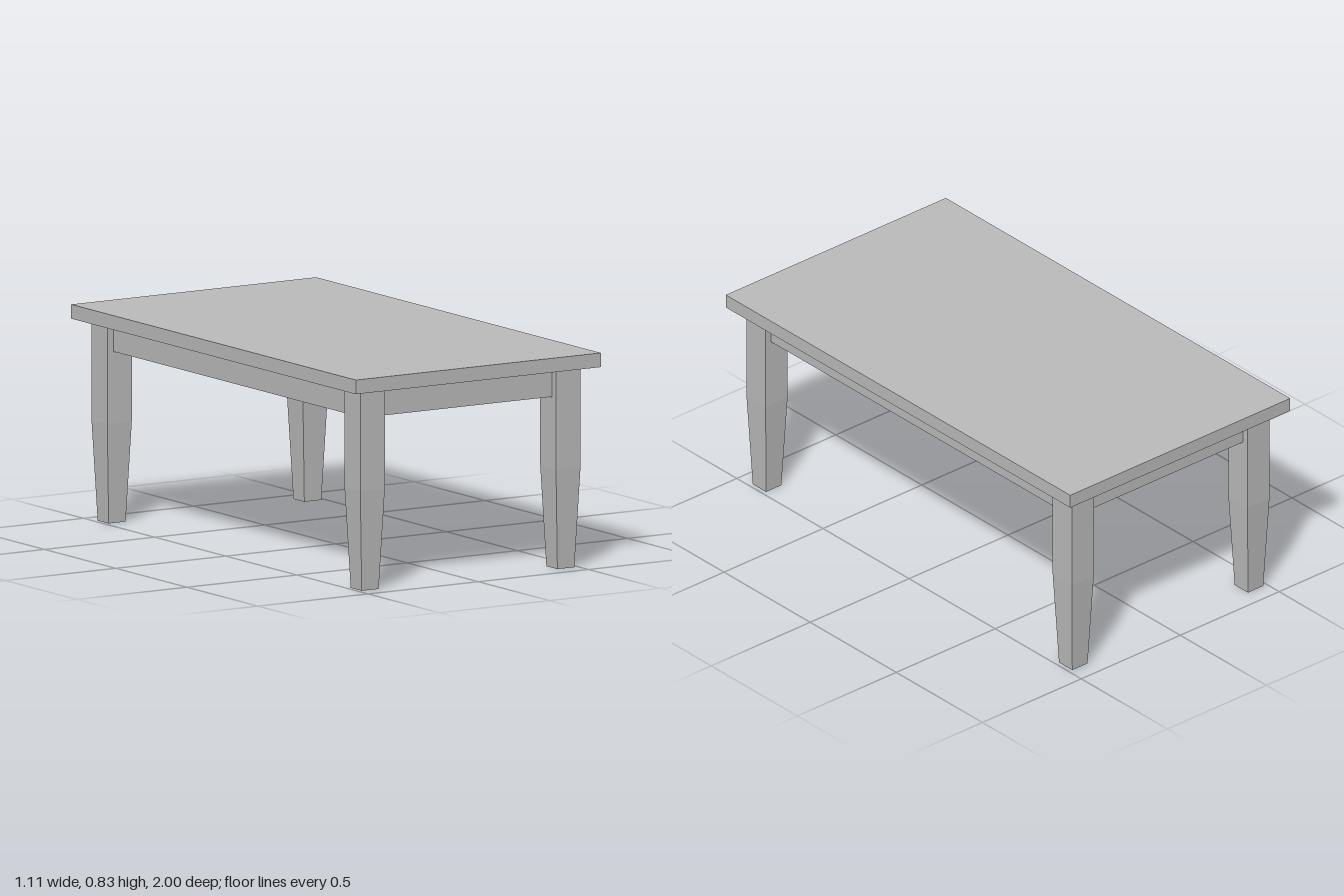
import * as THREE from 'three';

const HALF_W = 0.556, HALF_D = 1, TOP_Y = 0.833, UNDER_Y = 0.778;
const LEG = 0.111, FOOT = 0.077, LEG_X = 0.444, LEG_Z = 0.889;
const APRON_H = 0.111, APRON_T = 0.056;

// Square leg: straight upper half, lower half tapering to the foot
function legGeometry() {
  const geo = new THREE.BoxGeometry(LEG, UNDER_Y, LEG, 1, 2, 1);
  geo.translate(0, UNDER_Y / 2, 0);
  const p = geo.attributes.position;
  for (let i = 0; i < p.count; i++) {
    if (p.getY(i) < 0.01) {
      p.setX(i, Math.sign(p.getX(i)) * FOOT / 2);
      p.setZ(i, Math.sign(p.getZ(i)) * FOOT / 2);
    }
  }
  const flat = geo.toNonIndexed();
  flat.computeVertexNormals();
  return flat;
}

export function createModel() {
  const table = new THREE.Group();
  table.name = 'table';
  const grey = new THREE.MeshStandardMaterial({ color: 0xbbbbbb });
  grey.name = 'light grey';

  const add = (name, geo, x, y, z) => {
    const mesh = new THREE.Mesh(geo, grey);
    mesh.name = name;
    mesh.position.set(x, y, z);
    table.add(mesh);
  };

  // Table top
  const thick = TOP_Y - UNDER_Y;
  add('tableTop', new THREE.BoxGeometry(HALF_W * 2, thick, HALF_D * 2), 0, UNDER_Y + thick / 2, 0);

  // Four legs
  const leg = legGeometry();
  for (const [sx, side] of [[1, 'Left'], [-1, 'Right']])
    for (const [sz, end] of [[1, 'front'], [-1, 'back']])
      add(`${end}${side}Leg`, leg, sx * LEG_X, 0, sz * LEG_Z);

  // Aprons, centred on the legs and running between them
  const y = UNDER_Y - APRON_H / 2;
  const endApron = new THREE.BoxGeometry(LEG_X * 2 - LEG, APRON_H, APRON_T);
  const sideApron = new THREE.BoxGeometry(APRON_T, APRON_H, LEG_Z * 2 - LEG);
  add('frontApron', endApron, 0, y, LEG_Z);
  add('backApron', endApron, 0, y, -LEG_Z);
  add('leftApron', sideApron, LEG_X, y, 0);
  add('rightApron', sideApron, -LEG_X, y, 0);

  return table;
}
